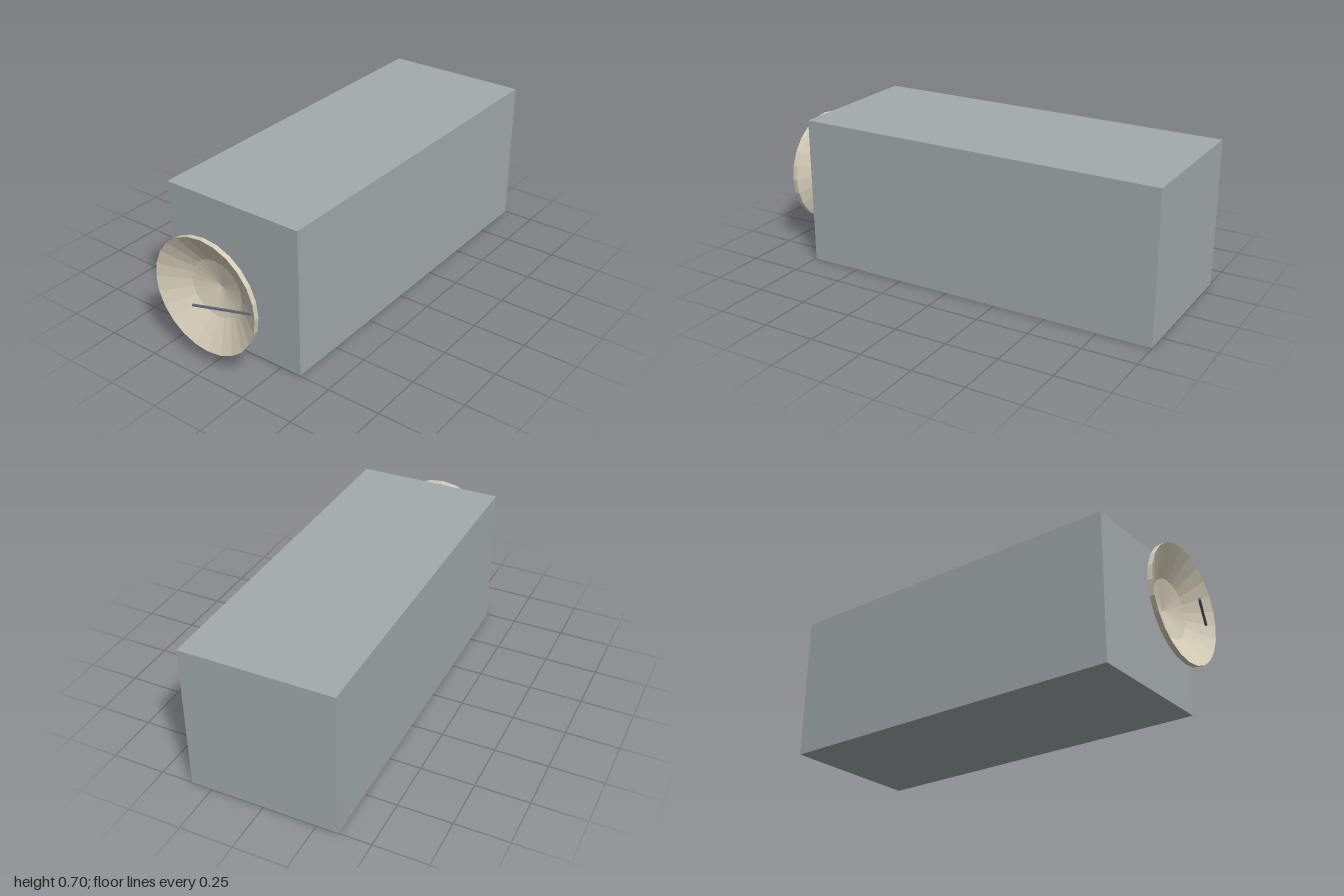
import * as THREE from 'three';

const paint = (name, color) => {
  const m = new THREE.MeshStandardMaterial({ color });
  m.name = name;
  return m;
};

// Gives every face its own normal for a faceted look
function facet(geometry) {
  const flat = geometry.toNonIndexed();
  flat.computeVertexNormals();
  return flat;
}

export function createModel() {
  const bodyGrey = paint('body grey', 0xa3abad);
  const dishCream = paint('dish cream', 0xd6cfba);
  const rodSlate = paint('rod slate', 0x5c636d);
  const model = new THREE.Group();
  const midY = 0.35;

  const add = (name, geometry, material) => {
    const mesh = new THREE.Mesh(geometry, material);
    mesh.name = name;
    model.add(mesh);
    return mesh;
  };

  // Long box body
  add('body', new THREE.BoxGeometry(0.7, 0.7, 1.746), bodyGrey).position.set(0, midY, -0.127);

  // Dish: conical back, short rim, two-step hollow front
  const profile = [[0, 0.79], [0.272, 0.905], [0.272, 0.928], [0.136, 0.851], [0, 0.819]]
    .map(([r, z]) => new THREE.Vector2(r, z));
  const dish = new THREE.LatheGeometry(profile, 24).rotateX(Math.PI / 2);
  add('dish', facet(dish), dishCream).position.y = midY;

  // Slanted feed rod from the dish's left side to its axis
  const foot = new THREE.Vector3(0.229, midY, 0.904);
  const tip = new THREE.Vector3(0, midY, 0.994);
  const axis = tip.clone().sub(foot);
  const rod = new THREE.CylinderGeometry(0.0065, 0.0065, axis.length(), 6);
  const feed = add('feedRod', facet(rod), rodSlate);
  feed.position.copy(foot).add(tip).multiplyScalar(0.5);
  feed.quaternion.setFromUnitVectors(new THREE.Vector3(0, 1, 0), axis.normalize());

  return model;
}
